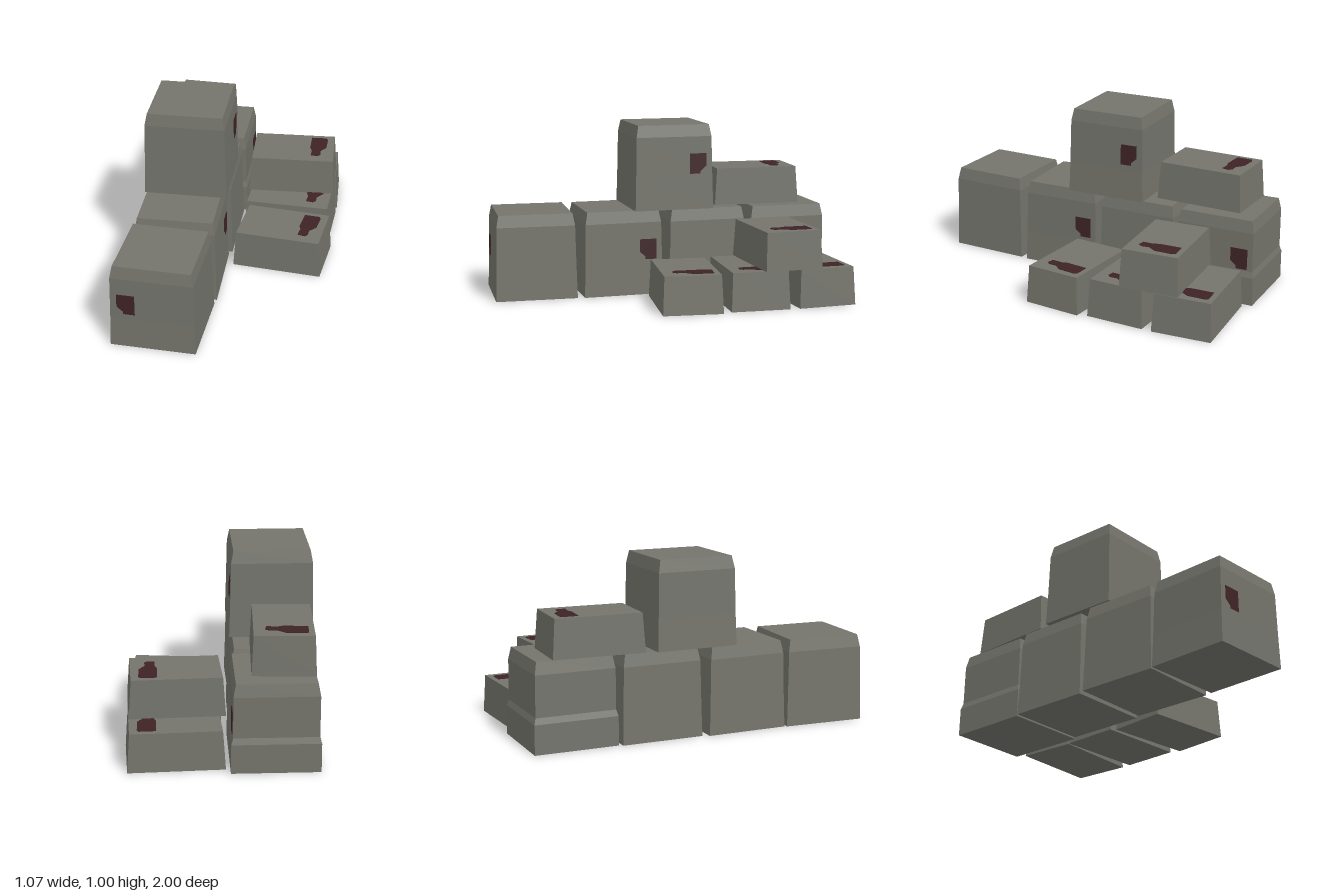
import * as THREE from 'three';

const stone = new THREE.MeshStandardMaterial({ color: 0x74746c });
stone.name = 'weathered grey stone';
const stain = new THREE.MeshStandardMaterial({ color: 0x3e2325 });
stain.name = 'dark red stain';

// Square block from [half width, height] rings, with hard edges
function block(rings, sx = 1, sz = 1) {
  const pts = [[0, rings[0][1]], ...rings, [0, rings.at(-1)[1]]]
    .map(([r, y]) => new THREE.Vector2(r * Math.SQRT2, y));
  const g = new THREE.LatheGeometry(pts, 4, Math.PI / 4).scale(sx, 1, sz).toNonIndexed();
  g.computeVertexNormals();
  return g;
}

// Thin plate in the XY plane
function plate(points) {
  const shape = new THREE.Shape(points.map(([x, y]) => new THREE.Vector2(x, y)));
  return new THREE.ExtrudeGeometry(shape, { depth: 0.004, bevelEnabled: false });
}

function part(name, geometry, material) {
  const m = new THREE.Mesh(geometry, material);
  m.name = name;
  return m;
}

const tallGeo = block([[0.238, 0], [0.233, 0.18], [0.228, 0.43], [0.215, 0.5]]);
const ledgeGeo = block([[0.24, 0], [0.239, 0.165], [0.229, 0.2], [0.228, 0.43], [0.215, 0.5]]);
const lowGeo = block([[0.262, 0], [0.247, 0.22]], 1, 0.655);

// Stain on a side, heights measured from 0.18 up the block
const sideStain = [[-0.195, 0.15], [-0.095, 0.15], [-0.095, 0.03], [-0.16, 0.03], [-0.16, 0.045], [-0.195, 0.075]];
const shifted = sideStain.map(([x, y]) => [x + 0.292, y]);
const mirrored = sideStain.map(([x, y]) => [-x, y]);

// Stain on the top of a low block, y pointing to the back
const topStain = plate([[0.105, 0.13], [0.195, 0.13], [0.205, 0.11], [0.2, 0.01], [0.165, -0.035],
  [0.167, -0.08], [0.15, -0.1], [0.108, -0.092], [0.112, -0.03], [0.1, 0]]).rotateX(-Math.PI / 2);

export function createModel() {
  const model = new THREE.Group();
  model.name = 'stackedBlocks';
  const rad = THREE.MathUtils.degToRad;

  const place = (name, x, y, z, turn) => {
    const g = new THREE.Group();
    g.name = name;
    g.position.set(x, y, z);
    g.rotation.y = rad(turn);
    model.add(g);
    return g;
  };

  // Tall blocks: name, x, y, z, turn, stain outline, stained side angle
  const tall = [
    ['frontBlock', -0.293, 0, 0.755, -1, sideStain, 0],
    ['secondBlock', -0.292, 0, 0.252, 2.4, shifted, 90],
    ['thirdBlock', -0.293, 0, -0.26, 1.8, null, 0],
    ['backBlock', -0.292, 0, -0.757, 1.8, shifted, 90],
    ['upperBlock', -0.291, 0.5, -0.055, 2, mirrored, 90],
  ];
  for (const [name, x, y, z, turn, outline, side] of tall) {
    const g = place(name, x, y, z, turn);
    g.add(part('tallStone', name === 'backBlock' ? ledgeGeo : tallGeo, stone));
    if (!outline) continue;
    const face = new THREE.Group();
    face.name = 'stainedSide';
    face.rotation.y = rad(side);
    const mark = part('sideStain', plate(outline), stain);
    mark.position.set(0, 0.18, 0.2315);
    mark.rotation.x = -0.02;
    face.add(mark);
    g.add(face);
  }

  // Low blocks: name, x, y, z, turn
  const low = [
    ['frontLowBlock', 0.256, 0, -0.048, -4.4],
    ['middleLowBlock', 0.248, 0, -0.428, -1],
    ['backLowBlock', 0.24, 0, -0.803, 4.4],
    ['upperLowBlock', 0.237, 0.22, -0.602, 4.4],
    ['topLowBlock', -0.343, 0.5, -0.608, 89.3],
  ];
  for (const [name, x, y, z, turn] of low) {
    const g = place(name, x, y, z, turn);
    g.add(part('lowStone', lowGeo, stone));
    const mark = part('topStain', topStain, stain);
    mark.position.y = 0.2185;
    g.add(mark);
  }
  return model;
}
